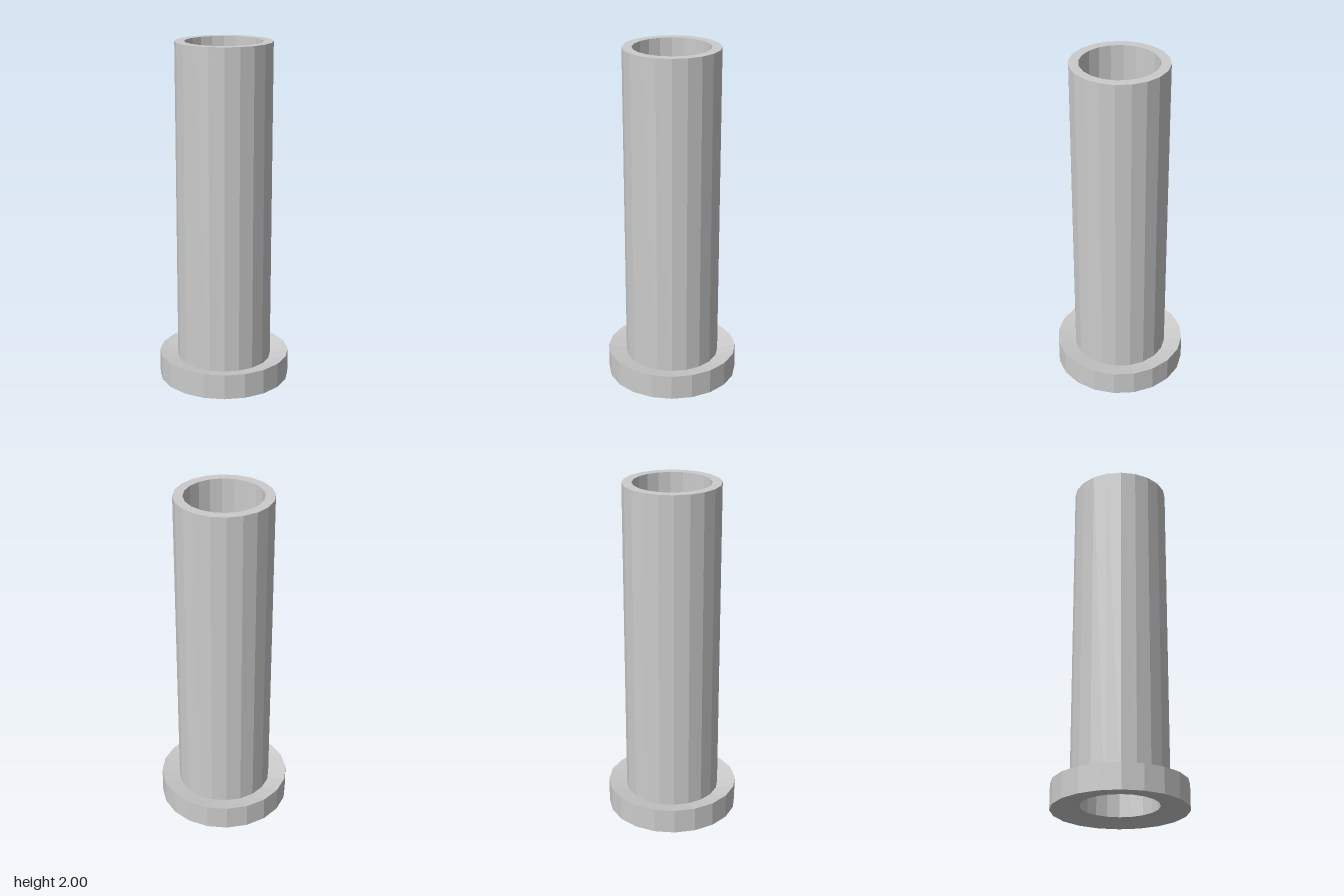
import * as THREE from 'three';

const SIDES = 20;
const BORE = 0.222, PIPE = 0.277, RIM = 0.385;

// Revolves a [radius, height] profile into a faceted ring
function revolve(name, profile, material) {
  const points = profile.map(([r, y]) => new THREE.Vector2(r, y));
  const mesh = new THREE.Mesh(new THREE.LatheGeometry(points, SIDES), material);
  mesh.name = name;
  return mesh;
}

export function createModel() {
  const group = new THREE.Group();
  group.name = 'flangedSleeve';
  const material = new THREE.MeshStandardMaterial({ color: 0xcccccc, flatShading: true });

  // Hollow pipe: base ring, outer wall, top ring, bore
  group.add(revolve('pipe', [
    [BORE, 0.025], [PIPE, 0.025], [PIPE, 2], [BORE, 2], [BORE, 0.025],
  ], material));

  // Flange with slightly dished faces, thinner towards the pipe
  group.add(revolve('flange', [
    [PIPE, 0.025], [RIM, 0], [RIM, 0.148], [PIPE, 0.123],
  ], material));

  return group;
}
